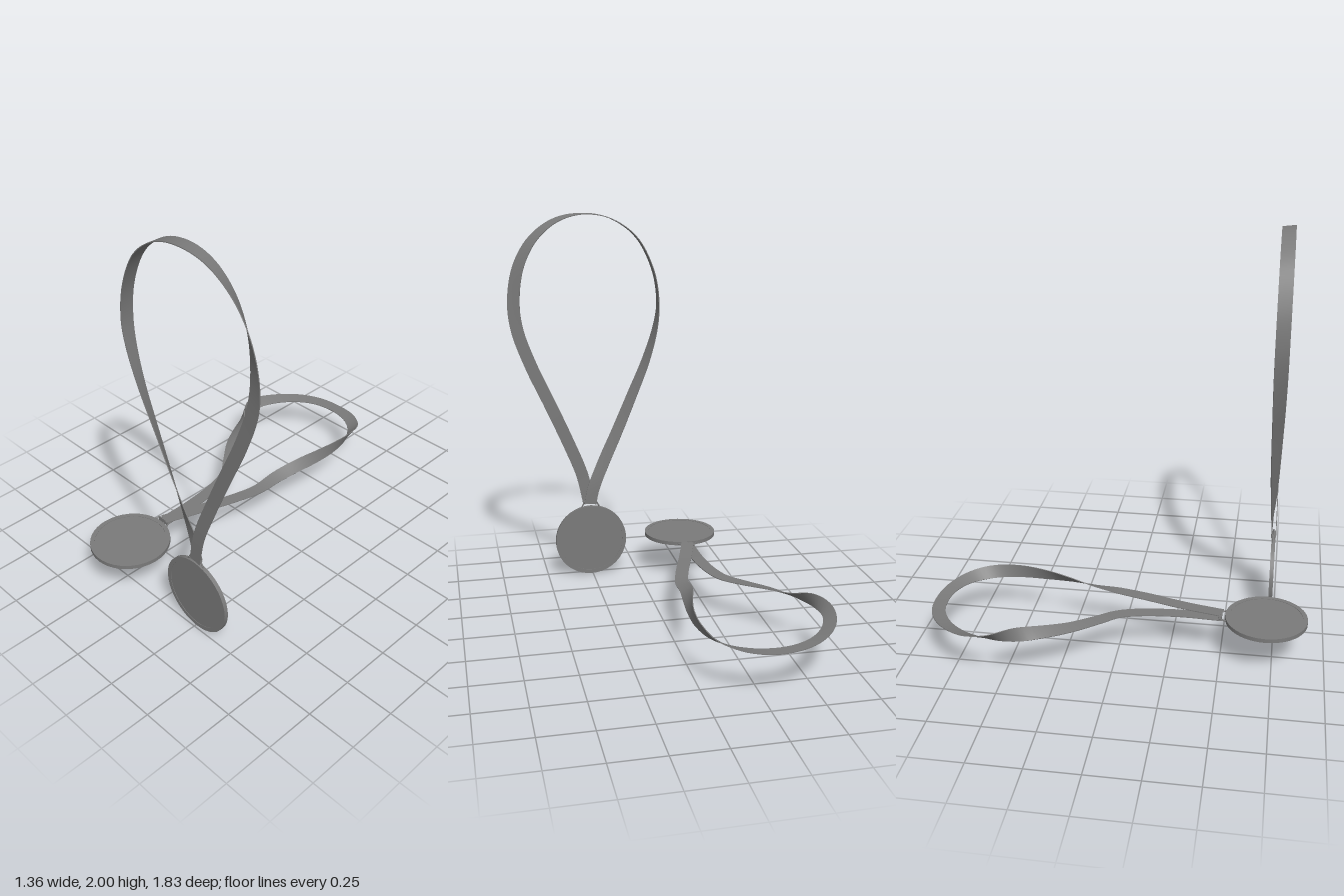
import * as THREE from 'three';
import { toCreasedNormals } from 'three/addons/utils/BufferGeometryUtils.js';

const material = new THREE.MeshStandardMaterial({ color: 0x7a7a7a, side: THREE.DoubleSide });
const RADIUS = 0.198, WIDTH = 0.066, THICK = 0.004;

function addMesh(parent, name, geometry) {
  const mesh = new THREE.Mesh(geometry, material);
  mesh.name = name;
  parent.add(mesh);
  return mesh;
}

// Twisting strap: each point is [x, y, z, twist in degrees]; at twist 0 the strap lies in the loop's plane
function strap(points, planeNormal, steps = 120) {
  const curve = new THREE.CatmullRomCurve3(points.map(p => new THREE.Vector3(p[0], p[1], p[2])), false, 'centripetal');
  const twist = new THREE.CatmullRomCurve3(points.map((p, i) => new THREE.Vector3(i, p[3], 0)));
  const positions = [], index = [];
  for (let i = 0; i <= steps; i++) {
    const t = i / steps;
    const a = THREE.MathUtils.degToRad(twist.getPoint(t).y);
    const tangent = curve.getTangent(t);
    const inner = tangent.clone().cross(planeNormal).normalize();
    const across = inner.multiplyScalar(Math.cos(a)).addScaledVector(planeNormal, Math.sin(a));
    const face = across.clone().cross(tangent).normalize();
    const centre = curve.getPoint(t);
    for (const [u, v] of [[-1, -1], [1, -1], [1, 1], [-1, 1]]) {
      const p = centre.clone().addScaledVector(across, u * WIDTH / 2).addScaledVector(face, v * THICK / 2);
      positions.push(p.x, p.y, p.z);
    }
    if (i === steps) break;
    for (let k = 0; k < 4; k++) {
      const b = i * 4 + k, c = i * 4 + (k + 1) % 4;
      index.push(b, b + 4, c, c, b + 4, c + 4);
    }
  }
  const geometry = new THREE.BufferGeometry();
  geometry.setAttribute('position', new THREE.Float32BufferAttribute(positions, 3));
  geometry.setIndex(index);
  return toCreasedNormals(geometry, 0.7);
}

// Disc with a slightly raised rim, plus the wire link at its top
function medal(name) {
  const group = new THREE.Group();
  group.name = name;
  const half = 0.01, floor = 0.008, rim = 0.176;
  const profile = [[0, -floor], [rim, -floor], [rim, -half], [RADIUS, -half],
    [RADIUS, half], [rim, half], [rim, floor], [0, floor]];
  const disc = new THREE.LatheGeometry(profile.map(p => new THREE.Vector2(...p)), 40);
  disc.rotateX(Math.PI / 2);
  addMesh(group, 'disc', toCreasedNormals(disc, 0.5));

  const corners = [[-0.052, 0.187], [-0.032, 0.224], [0.032, 0.224], [0.052, 0.187]].map(p => new THREE.Vector3(p[0], p[1], 0));
  const link = new THREE.Group();
  link.name = 'link';
  group.add(link);
  for (let i = 0; i < 3; i++) {
    const a = corners[i], b = corners[i + 1];
    const bar = addMesh(link, 'linkBar', new THREE.CylinderGeometry(0.004, 0.004, a.distanceTo(b) + 0.004, 8));
    bar.position.copy(a).lerp(b, 0.5);
    bar.quaternion.setFromUnitVectors(new THREE.Vector3(0, 1, 0), b.clone().sub(a).normalize());
  }
  // Where the strap folds round the link
  addMesh(group, 'strapFold', new THREE.BoxGeometry(WIDTH, THICK, 0.024)).position.set(0, 0.215, 0);
  return group;
}

export function createModel() {
  const model = new THREE.Group();
  model.name = 'medalPair';

  // Upright medal, its strap making half a turn over the top
  const upright = medal('uprightMedal');
  upright.position.set(0.257, 0.2, 0.728);
  model.add(upright);
  const hanging = [
    [0.259, 0.415, 0.718, 0], [0.24, 0.5, 0.718, 5], [0.185, 0.64, 0.72, 22], [0.105, 0.82, 0.72, 38],
    [0.02, 1.02, 0.721, 50], [-0.062, 1.22, 0.722, 64], [-0.114, 1.4, 0.722, 80], [-0.127, 1.53, 0.722, 90],
    [-0.1, 1.7, 0.722, 90], [-0.01, 1.875, 0.722, 90], [0.13, 1.974, 0.722, 90], [0.28, 1.998, 0.722, 92],
    [0.42, 1.965, 0.722, 107], [0.54, 1.87, 0.722, 126], [0.617, 1.73, 0.722, 145], [0.647, 1.55, 0.722, 166],
    [0.633, 1.4, 0.722, 178], [0.564, 1.2, 0.724, 180], [0.474, 1, 0.727, 180], [0.374, 0.77, 0.732, 180],
    [0.3, 0.58, 0.738, 180], [0.264, 0.415, 0.739, 180],
  ];
  addMesh(model, 'uprightStrap', strap(hanging, new THREE.Vector3(0, 0, 1)));

  // Lying medal, its strap rolling over on both sides of the loop
  const lying = medal('lyingMedal');
  lying.rotation.x = -Math.PI / 2;
  lying.position.set(-0.25, 0.211, 0.716);
  model.add(lying);
  const resting = [
    [-0.252, 0.202, 0.5, 0], [-0.252, 0.206, 0.3, 0], [-0.275, 0.208, 0.11, 0], [-0.312, 0.209, 0, 0],
    [-0.385, 0.211, -0.09, 4], [-0.485, 0.219, -0.21, 14], [-0.567, 0.23, -0.345, 36], [-0.629, 0.244, -0.45, 88],
    [-0.655, 0.24, -0.56, 138], [-0.63, 0.229, -0.67, 160], [-0.55, 0.222, -0.785, 170], [-0.44, 0.218, -0.858, 176],
    [-0.31, 0.216, -0.881, 178], [-0.19, 0.222, -0.858, 170], [-0.095, 0.232, -0.79, 150], [-0.042, 0.243, -0.68, 116],
    [-0.027, 0.247, -0.55, 92], [-0.037, 0.245, -0.42, 72], [-0.06, 0.24, -0.28, 46], [-0.082, 0.226, -0.15, 24],
    [-0.09, 0.212, -0.02, 4], [-0.125, 0.211, 0.12, 0], [-0.19, 0.214, 0.32, 0], [-0.245, 0.223, 0.5, 0],
  ];
  addMesh(model, 'lyingStrap', strap(resting, new THREE.Vector3(0, 1, 0)));

  return model;
}
